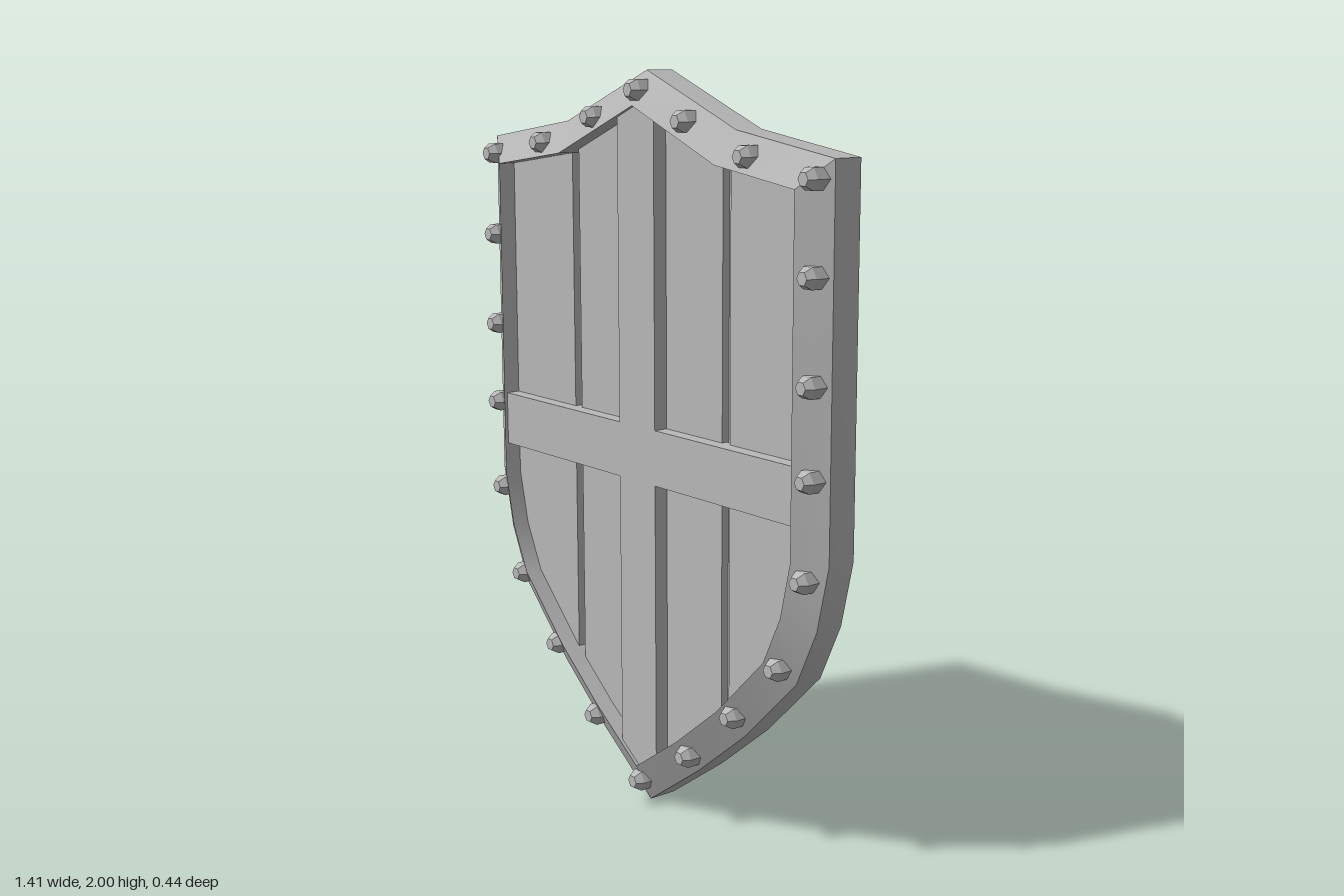
import * as THREE from 'three';
import { toCreasedNormals } from 'three/addons/utils/BufferGeometryUtils.js';

const steel = new THREE.MeshStandardMaterial({ color: 0xb8b8b8 });
steel.name = 'grey steel';

// Right half of a contour (top to bottom tip), mirrored into a closed loop
const mirrorLoop = half => [...half, ...half.slice(1, -1).reverse().map(([x, y]) => [-x, y])];
const outer = mirrorLoop([[0, 2], [0.354, 1.86], [0.707, 1.807], [0.707, 0.83], [0.667, 0.655],
  [0.595, 0.5], [0.4, 0.305], [0.21, 0.15], [0, 0]]);
const inner = mirrorLoop([[0, 1.91], [0.33, 1.775], [0.622, 1.733], [0.622, 0.83], [0.587, 0.68],
  [0.525, 0.55], [0.345, 0.37], [0.18, 0.237], [0, 0.11]]);

// Keep the side of a polygon where sign * coordinate <= limit
function clip(points, axis, sign, limit) {
  const result = [];
  points.forEach((a, i) => {
    const b = points[(i + 1) % points.length];
    const da = sign * a[axis] - limit, db = sign * b[axis] - limit;
    if (da <= 0) result.push(a);
    if (da * db < 0) {
      const t = da / (da - db);
      result.push([a[0] + (b[0] - a[0]) * t, a[1] + (b[1] - a[1]) * t]);
    }
  });
  return result;
}
const strip = (points, axis, min, max) => clip(clip(points, axis, 1, max), axis, -1, -min);

function slab(points, z0, z1) {
  const shape = new THREE.Shape(points.map(([x, y]) => new THREE.Vector2(x, y)));
  return new THREE.ExtrudeGeometry(shape, { depth: z1 - z0, bevelEnabled: false }).translate(0, 0, z0);
}

// Ring swept from a four-cornered section: sloping front and back, upright edges
function rimGeometry() {
  const rings = [[inner, 0.207], [outer, 0.157], [outer, 0.075], [inner, 0.03]];
  const n = outer.length, positions = [], index = [];
  for (const [loop, z] of rings) for (const [x, y] of loop) positions.push(x, y, z);
  for (let r = 0; r < 4; r++) {
    for (let i = 0; i < n; i++) {
      const j = (i + 1) % n, s = ((r + 1) % 4) * n;
      const a = r * n + i, b = r * n + j, c = s + j, d = s + i;
      index.push(a, d, c, a, c, b);
    }
  }
  const geometry = new THREE.BufferGeometry();
  geometry.setAttribute('position', new THREE.Float32BufferAttribute(positions, 3));
  geometry.setIndex(index);
  // Loops run clockwise seen from the front, so turn the faces outward
  for (let i = 0; i < index.length; i += 3) {
    const k = index[i + 1];
    index[i + 1] = index[i + 2];
    index[i + 2] = k;
  }
  geometry.setIndex(index);
  return toCreasedNormals(geometry, 0.4);
}

export function createModel() {
  const model = new THREE.Group();
  model.name = 'shield';
  const add = (name, geometry, parent = model) => {
    const mesh = new THREE.Mesh(geometry, steel);
    mesh.name = name;
    parent.add(mesh);
    return mesh;
  };

  add('rim', flipIfInward(rimGeometry()));

  // Thin core closing the seams, with four planks around it
  add('core', slab(inner, 0.105, 0.135));
  const seams = [-0.64, -0.32, 0, 0.32, 0.64];
  for (let i = 0; i < 4; i++) {
    add('plank', slab(strip(inner, 0, seams[i] + 0.015, seams[i + 1] - 0.015), 0.085, 0.157));
  }

  // Raised cross on the front
  add('verticalBar', slab(strip(inner, 0, -0.077, 0.077), 0.14, 0.197));
  for (const [min, max] of [[-0.7, -0.077], [0.077, 0.7]]) {
    add('horizontalBar', slab(strip(strip(inner, 1, 0.92, 1.07), 0, min, max), 0.14, 0.197));
  }

  // Six-sided tapered rivets along the rim
  const profile = [[0, 0], [0.031, 0], [0.031, 0.042], [0.018, 0.062], [0, 0.062]];
  const rivet = new THREE.LatheGeometry(profile.map(([r, h]) => new THREE.Vector2(r, h)), 6)
    .rotateY(Math.PI / 2).rotateX(Math.PI / 2).toNonIndexed();
  rivet.computeVertexNormals();
  const spots = [[0, 1.95], [0.193, 1.876], [0.432, 1.8], [0.667, 1.76], [0.667, 1.53], [0.667, 1.27],
    [0.667, 1.04], [0.652, 0.787], [0.56, 0.54], [0.39, 0.365], [0.205, 0.2], [0, 0.068]];
  for (const [x, y] of mirrorLoop(spots)) add('rivet', rivet, model).position.set(x, y, 0.16);

  // Diagonal handle on the back, built along x and then turned
  const handle = new THREE.Group();
  handle.name = 'handle';
  handle.position.y = 1.14;
  handle.rotation.z = Math.PI / 4;
  model.add(handle);
  add('handlePlate', new THREE.BoxGeometry(0.76, 0.146, 0.07).translate(0, 0, 0.058), handle);
  const side = [[0.339, 0.025], [0.297, -0.2], [0.261, -0.222]];
  const hollow = [[0.205, -0.175], [0.24, 0.025]];
  const flip = points => points.map(([x, z]) => [-x, z]).reverse();
  const grip = slab([...side, ...flip(side), ...flip(hollow), ...hollow], -0.057, 0.057);
  add('grip', grip.rotateX(Math.PI / 2), handle);

  return model;
}

// Make sure a closed surface faces outward by checking its signed volume
function flipIfInward(geometry) {
  const p = geometry.attributes.position, normal = geometry.attributes.normal;
  const [a, b, c] = [0, 1, 2].map(() => new THREE.Vector3());
  let volume = 0;
  for (let i = 0; i < p.count; i += 3) {
    [a, b, c].forEach((v, k) => v.fromBufferAttribute(p, i + k));
    volume += a.dot(b.cross(c));
  }
  if (volume < 0) {
    for (let i = 0; i < p.count; i += 3) {
      for (const attribute of [p, normal]) {
        a.fromBufferAttribute(attribute, i + 1);
        b.fromBufferAttribute(attribute, i + 2);
        attribute.setXYZ(i + 1, b.x, b.y, b.z);
        attribute.setXYZ(i + 2, a.x, a.y, a.z);
      }
    }
    for (let i = 0; i < normal.count; i++) {
      normal.setXYZ(i, -normal.getX(i), -normal.getY(i), -normal.getZ(i));
    }
  }
  return geometry;
}
